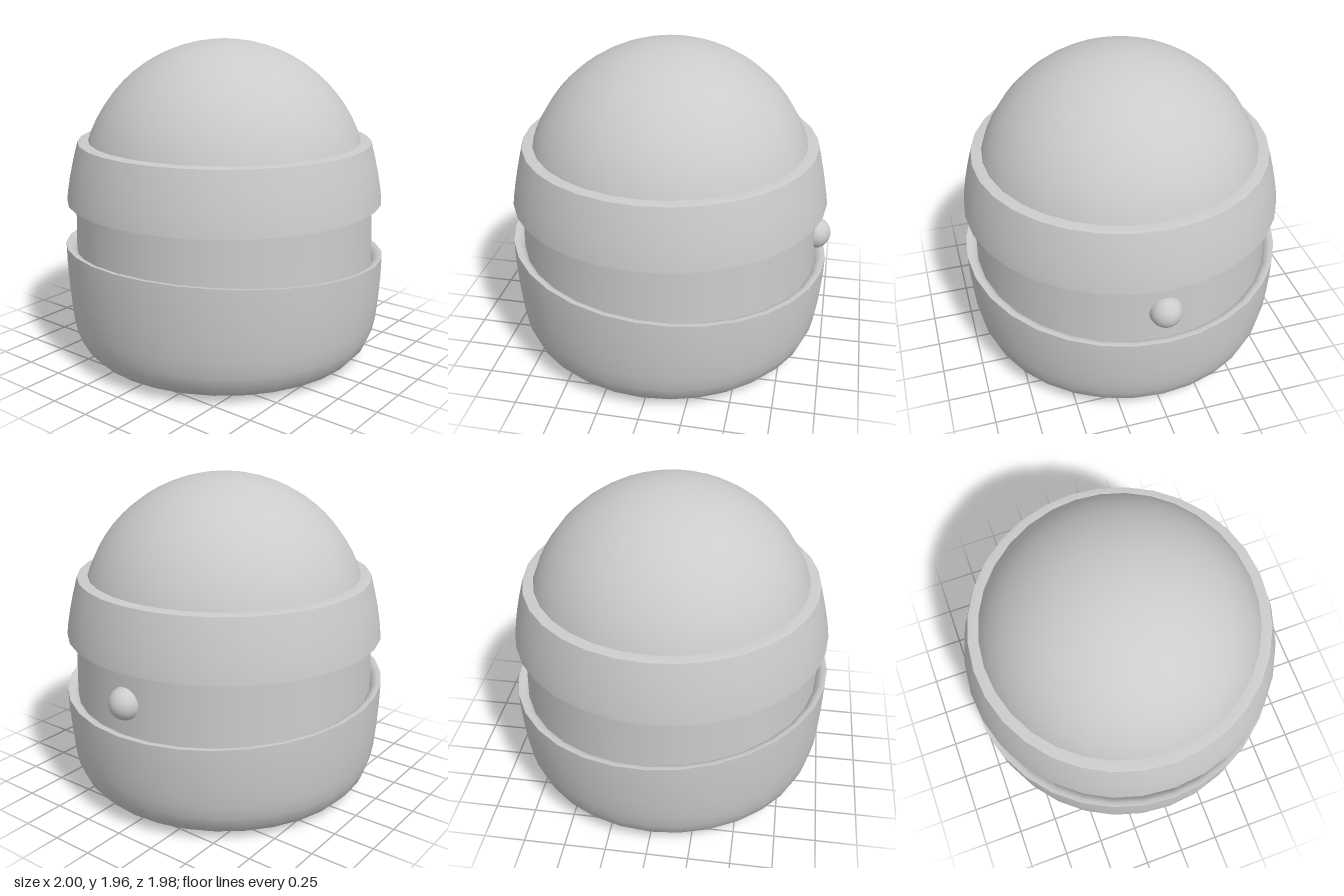
import * as THREE from 'three';
import { toCreasedNormals } from 'three/addons/utils/BufferGeometryUtils.js';

const SEGMENTS = 32;
const RIM_HEIGHT = 0.682;
const RIM_SLOPE = -0.063;

export function createModel() {
  const model = new THREE.Group();
  const material = new THREE.MeshStandardMaterial({ color: 0xcccccc, side: THREE.DoubleSide });

  const add = (name, geometry, x, y, z) => {
    const mesh = new THREE.Mesh(geometry, material);
    mesh.name = name;
    mesh.position.set(x, y, z);
    model.add(mesh);
    return mesh;
  };
  const lathe = (profile) =>
    new THREE.LatheGeometry(profile.map(([r, y]) => new THREE.Vector2(r, y)), SEGMENTS);

  // Base cup: rounded foot and a rim that slopes down towards +x
  const cup = lathe([
    [0, 0.005], [0.6, 0.005], [0.72, 0.008], [0.8, 0.022], [0.87, 0.058], [0.92, 0.115],
    [0.95, 0.19], [0.968, 0.28], [0.98, 0.42], [0.988, 0.56], [0.99, RIM_HEIGHT],
    [0.965, RIM_HEIGHT], [0.94, 0.668], [0.925, 0.645], [0.9, 0.6],
  ]);
  const p = cup.attributes.position;
  for (let i = 0; i < p.count; i++) {
    const weight = (p.getY(i) / RIM_HEIGHT) ** 2;
    p.setY(i, p.getY(i) + RIM_SLOPE * p.getX(i) * weight);
  }
  add('baseCup', toCreasedNormals(cup, 0.75), -0.01, 0, 0);

  // Recessed wall between the cup and the band
  add('innerWall', new THREE.CylinderGeometry(0.915, 0.93, 0.6, SEGMENTS, 1, true), -0.01, 0.8, 0);

  // Tapered band with a flat ledge on top
  const band = lathe([
    [0.88, 0.99], [0.95, 0.99], [0.973, 0.997], [0.966, 1.05], [0.95, 1.14],
    [0.925, 1.25], [0.897, 1.355], [0.87, 1.36], [0.8, 1.36],
  ]);
  add('band', toCreasedNormals(band, 0.75), -0.01, 0, 0);

  // Dome cap
  add('dome', new THREE.SphereGeometry(0.88, SEGMENTS, 16, 0, Math.PI * 2, 0, Math.PI / 2), -0.01, 1.08, 0);

  // Small round knob on the left side
  add('knob', new THREE.SphereGeometry(0.097, 24, 16), 0.903, 0.795, 0);

  return model;
}
